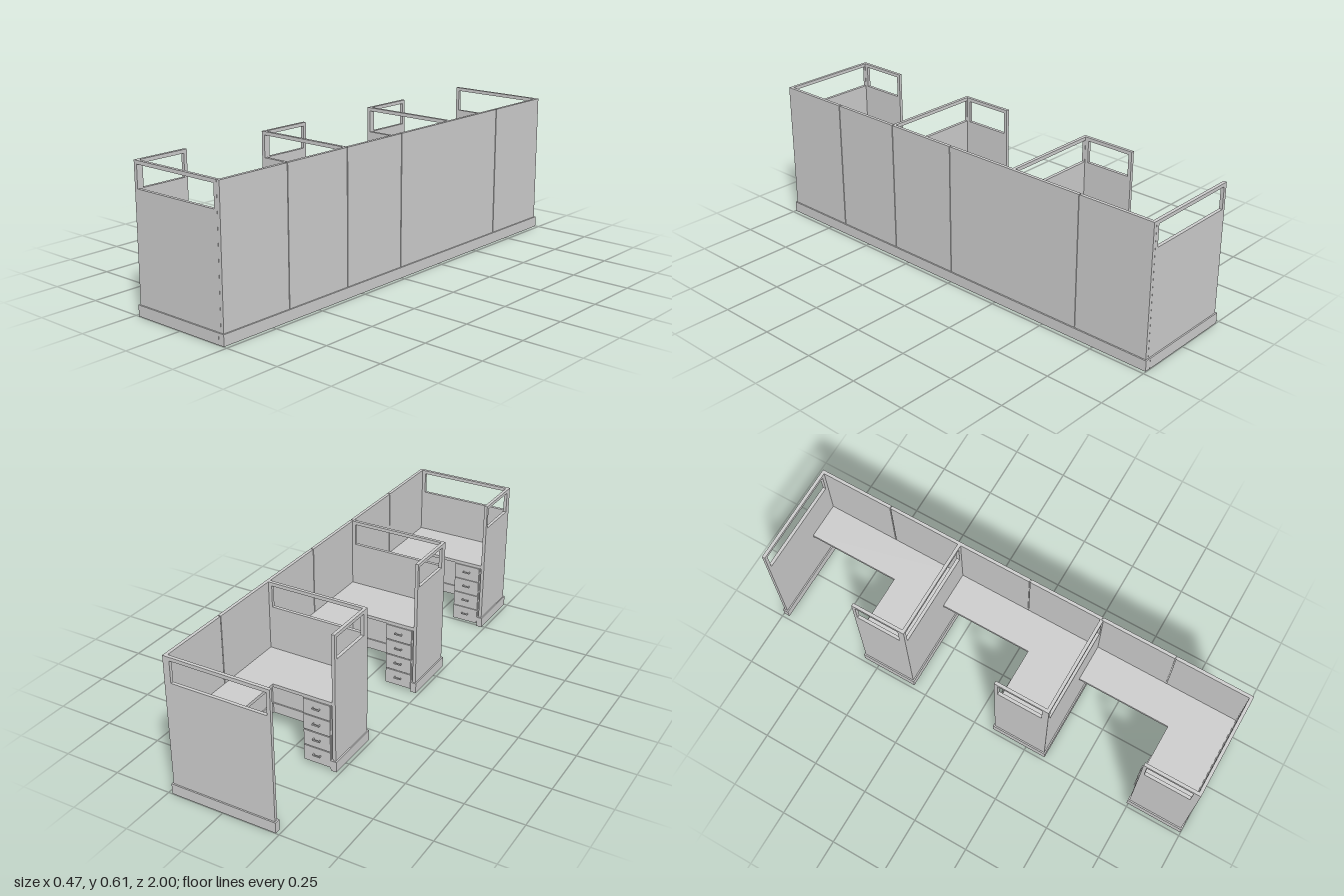
import * as THREE from 'three';

const mat = new THREE.MeshStandardMaterial({ color: 0xcccccc });

// Box given by its minimum and maximum corners
function box(parent, name, [x0, y0, z0], [x1, y1, z1]) {
  const m = new THREE.Mesh(new THREE.BoxGeometry(x1 - x0, y1 - y0, z1 - z0), mat);
  m.name = name;
  m.position.set((x0 + x1) / 2, (y0 + y1) / 2, (z0 + z1) / 2);
  parent.add(m);
  return m;
}

const H = 0.61;            // wall height
const BASE = 0.046;        // skirting height
const SILL = 0.5;          // window sill height
const T = 0.014;           // wall thickness
const LIP = 0.006;         // skirting overhang
const XL = -0.229, XS = 0.214, XR = 0.228;   // open side, spine inner, spine outer
const DESK = 0.312, DESK_T = 0.014;
const PITCH = 0.657;
const WING = 0.23;         // length of the return walls

// Window frame of given length, lying along x, starting at the origin
function windowFrame(length) {
  const s = new THREE.Shape();
  s.moveTo(0, SILL).lineTo(length, SILL).lineTo(length, H).lineTo(0, H).closePath();
  const b = 0.015;
  const hole = new THREE.Path();
  hole.moveTo(b, SILL + 0.001).lineTo(b, H - b).lineTo(length - b, H - b).lineTo(length - b, SILL + 0.001).closePath();
  s.holes.push(hole);
  const m = new THREE.Mesh(new THREE.ExtrudeGeometry(s, { depth: T, bevelEnabled: false }), mat);
  m.name = 'windowFrame';
  return m;
}

// Wall across the row, with skirting and window
function crossWall(z) {
  const g = new THREE.Group();
  g.name = 'crossWall';
  box(g, 'panel', [XL, BASE, z - T / 2], [XS, SILL, z + T / 2]);
  box(g, 'skirting', [XL - LIP, 0, z - T / 2 - LIP], [XS - LIP, BASE, z + T / 2 + LIP]);
  const f = windowFrame(XS - XL);
  f.position.set(XL, 0, z - T / 2);
  g.add(f);
  return g;
}

// Short wall closing the open side of a desk
function returnWall(z) {
  const g = new THREE.Group();
  g.name = 'returnWall';
  const z1 = z - T / 2, z0 = z1 - WING;
  box(g, 'panel', [XL, BASE, z0], [XL + T, SILL, z1]);
  box(g, 'skirting', [XL - LIP, 0, z0 - LIP], [XL + T + LIP, BASE, z1 - LIP]);
  const f = windowFrame(WING);
  f.rotation.y = -Math.PI / 2;
  f.position.set(XL + T, 0, z0);
  g.add(f);
  return g;
}

// L-shaped worktop between two cross walls
function worktop(z) {
  const z1 = z - T / 2, z0 = z1 - WING, zBack = z - PITCH + T / 2;
  const s = new THREE.Shape();
  [[XL + T, z1], [XS, z1], [XS, zBack], [0.052, zBack], [0.052, z0], [XL + T, z0]]
    .forEach(([x, zz], i) => (i ? s.lineTo(x, -zz) : s.moveTo(x, -zz)));
  const geo = new THREE.ExtrudeGeometry(s, { depth: DESK_T, bevelEnabled: false });
  geo.rotateX(-Math.PI / 2);
  const m = new THREE.Mesh(geo, mat);
  m.name = 'worktop';
  m.position.y = DESK - DESK_T;
  return m;
}

// Four-drawer pedestal, drawers facing -z
function pedestal(z) {
  const g = new THREE.Group();
  g.name = 'drawerPedestal';
  const x0 = -0.209, x1 = -0.085, y0 = 0.01, y1 = DESK - DESK_T;
  const zf = z - T / 2 - WING + 0.001;
  box(g, 'cabinet', [x0, y0, zf], [x1, y1, zf + 0.19]);
  const step = (y1 - y0) / 4, xm = (x0 + x1) / 2, w = 0.016;
  for (let i = 0; i < 4; i++) {
    const a = y0 + i * step;
    box(g, 'drawerFront', [x0 + 0.002, a + 0.002, zf - 0.005], [x1 - 0.002, a + step - 0.002, zf]);
    const hy = a + step * 0.55;
    box(g, 'handleBar', [xm - w, hy - 0.003, zf - 0.016], [xm + w, hy + 0.003, zf - 0.012]);
    for (const s of [-1, 1]) {
      const px = xm + s * (w - 0.002);
      box(g, 'handlePost', [px - 0.002, hy - 0.003, zf - 0.012], [px + 0.002, hy + 0.003, zf - 0.005]);
    }
  }
  return g;
}

// Long back wall: separate panels over a recessed core, leaving thin seams
function spineWall() {
  const g = new THREE.Group();
  g.name = 'spineWall';
  const end = 0.992, gap = 0.002;
  const seams = [-end, -0.657, 0, 0.329, 0.657, end];
  for (let i = 0; i < seams.length - 1; i++) {
    const a = seams[i] + (i ? gap : 0);
    const b = seams[i + 1] - (i < seams.length - 2 ? gap : 0);
    box(g, 'panel', [XS, BASE, a], [XR, H, b]);
  }
  for (const s of seams.slice(1, -1)) {
    box(g, 'seamCore', [XS + 0.003, BASE, s - gap], [XR - 0.003, H - 0.003, s + gap]);
  }
  box(g, 'skirting', [XS - LIP, 0, -end - LIP], [XR + LIP, BASE, end + LIP]);
  return g;
}

export function createModel() {
  const model = new THREE.Group();
  model.name = 'cubicleRow';
  model.add(spineWall());
  // Four cross walls; each but the first closes a workstation
  for (let i = 0; i < 4; i++) {
    const z = (i - 1.5) * PITCH;
    model.add(crossWall(z));
    if (i === 0) continue;
    const station = new THREE.Group();
    station.name = 'workstation';
    station.add(returnWall(z), worktop(z), pedestal(z));
    model.add(station);
  }
  return model;
}
